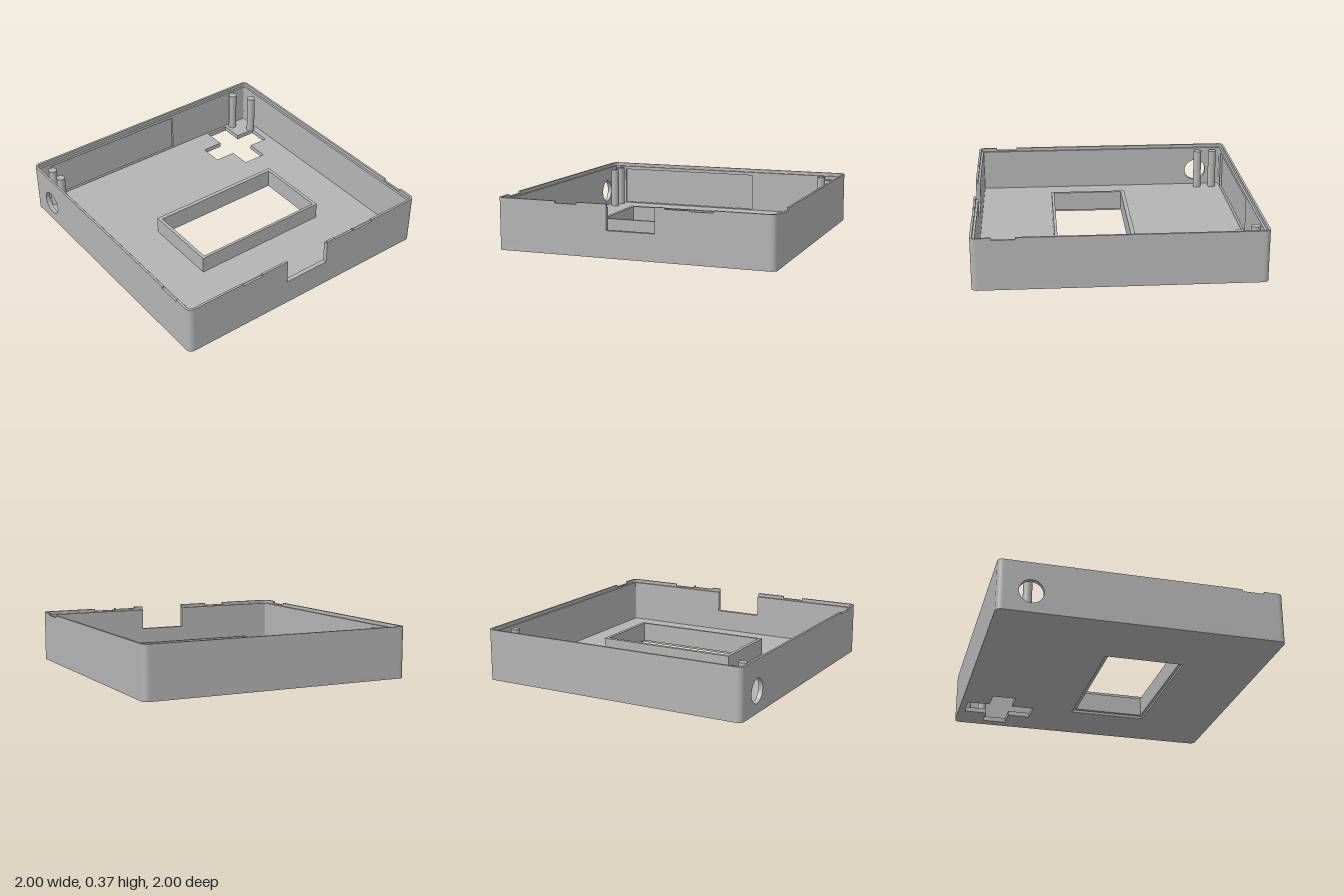
import * as THREE from 'three';
import { toCreasedNormals } from 'three/addons/utils/BufferGeometryUtils.js';

const R = 0.04;        // outer corner radius
const T = 0.016;       // thickness of each of the two wall layers
const FLOOR = 0.035;   // top of the floor
const TOP = 0.37;      // top of the outer lip
const LEDGE = 0.345;   // top of the inner ledge

export function createModel() {
  const group = new THREE.Group();
  const grey = new THREE.MeshStandardMaterial({ color: 0xb4b4b4 });
  grey.name = 'grey plastic';

  const add = (name, geometry, parent = group) => {
    const mesh = new THREE.Mesh(geometry, grey);
    mesh.name = name;
    parent.add(mesh);
    return mesh;
  };

  const polygon = (points, Type = THREE.Shape) =>
    new Type(points.map(([x, y]) => new THREE.Vector2(x, y)));

  const rect = (x0, x1, y0, y1, Type) =>
    polygon([[x0, y0], [x1, y0], [x1, y1], [x0, y1]], Type);

  // Extrudes a plan shape (x, -z) upwards from y0 to y1
  const plan = (shape, y0, y1) => {
    const g = new THREE.ExtrudeGeometry(shape, { depth: y1 - y0, bevelEnabled: false, curveSegments: 10 });
    g.rotateX(-Math.PI / 2);
    g.translate(0, y0, 0);
    return toCreasedNormals(g, 0.6);
  };

  // Floor in two layers, so that the window has a stepped recess underneath
  const outerWindow = [-0.475, 0.575, -0.43, 0.14];
  const innerWindow = [-0.45, 0.55, -0.41, 0.11];
  const floorLayer = (windowRect) => {
    const s = new THREE.Shape();
    const c = 1 - R;
    s.absarc(c, c, R, 0, Math.PI / 2);
    s.absarc(-c, c, R, Math.PI / 2, Math.PI);
    s.absarc(-c, -c, R, Math.PI, Math.PI * 1.5);
    s.absarc(c, -c, R, Math.PI * 1.5, Math.PI * 2);
    s.closePath();
    s.holes.push(rect(...windowRect, THREE.Path));
    // Cross-shaped opening
    s.holes.push(polygon([
      [0.585, 0.445], [0.765, 0.445], [0.765, 0.61], [0.92, 0.61], [0.92, 0.785], [0.765, 0.785],
      [0.765, 0.95], [0.585, 0.95], [0.585, 0.785], [0.425, 0.785], [0.425, 0.61], [0.585, 0.61],
    ], THREE.Path));
    return s;
  };
  add('floorBottom', plan(floorLayer(outerWindow), 0, 0.018));
  add('floorTop', plan(floorLayer(innerWindow), 0.018, FLOOR));

  // Raised frame around the window
  const frame = rect(...outerWindow);
  frame.holes.push(rect(...innerWindow, THREE.Path));
  add('windowFrame', plan(frame, FLOOR, 0.16));

  // One wall layer: an elevation with cuts [from, to, height] in its top edge
  const wallLayer = (top, cuts, holes, z) => {
    const c = 1 - R;
    const points = [[-c, FLOOR], [c, FLOOR], [c, top]];
    for (const [a, b, y] of [...cuts].reverse()) points.push([b, top], [b, y], [a, y], [a, top]);
    points.push([-c, top]);
    const s = polygon(points);
    s.holes.push(...holes);
    const g = new THREE.ExtrudeGeometry(s, { depth: T, bevelEnabled: false, curveSegments: 24 });
    g.translate(0, 0, z);
    return toCreasedNormals(g, 0.6);
  };

  const roundHole = () => new THREE.Path().absarc(-0.77, 0.155, 0.085, 0, Math.PI * 2);
  const port = [-0.18, 0.17, 0.19];
  const walls = [
    { name: 'frontWall', turn: 0, inner: [port],
      outer: [[-0.56, -0.4, 0.355], port, [0.24, 0.4, 0.36], [0.41, 0.58, 0.355]] },
    { name: 'leftWall', turn: Math.PI / 2, outer: [[-0.86, -0.7, 0.355]] },
    // The back wall has a shallow recess inside
    { name: 'backWall', turn: Math.PI, innerHoles: [rect(-0.24, 0.88, 0.04, 0.32, THREE.Path)] },
    { name: 'rightWall', turn: -Math.PI / 2, outer: [[0.7, 0.86, 0.355]],
      innerHoles: [roundHole()], outerHoles: [roundHole()] },
  ];
  for (const { name, turn, outer = [], inner = [], outerHoles = [], innerHoles = [] } of walls) {
    const wall = new THREE.Group();
    wall.name = name;
    wall.rotation.y = turn;
    group.add(wall);
    add(name + 'Lip', wallLayer(TOP, outer, outerHoles, 1 - T), wall);
    add(name + 'Ledge', wallLayer(LEDGE, inner, innerHoles, 1 - 2 * T), wall);
  }

  // Rounded corners in the same two layers
  const cornerLayer = (r0, r1, top) => {
    const s = new THREE.Shape();
    s.absarc(0, 0, r1, 0, Math.PI / 2, false);
    s.absarc(0, 0, r0, Math.PI / 2, 0, true);
    s.closePath();
    const g = plan(s, FLOOR, top);
    g.translate(1 - R, 0, R - 1);
    return g;
  };
  for (let i = 0; i < 4; i++) {
    add('cornerLip', cornerLayer(R - T, R, TOP)).rotation.y = i * Math.PI / 2;
    add('cornerLedge', cornerLayer(R - 2 * T, R - T, LEDGE)).rotation.y = i * Math.PI / 2;
  }

  // Mounting posts
  for (const [x, z] of [[-0.9, -0.9], [-0.9, -0.78], [0.82, -0.93], [0.91, -0.8]]) {
    const h = 0.34 - FLOOR;
    add('post', new THREE.CylinderGeometry(0.031, 0.031, h, 24)).position.set(x, FLOOR + h / 2, z);
  }

  return group;
}
